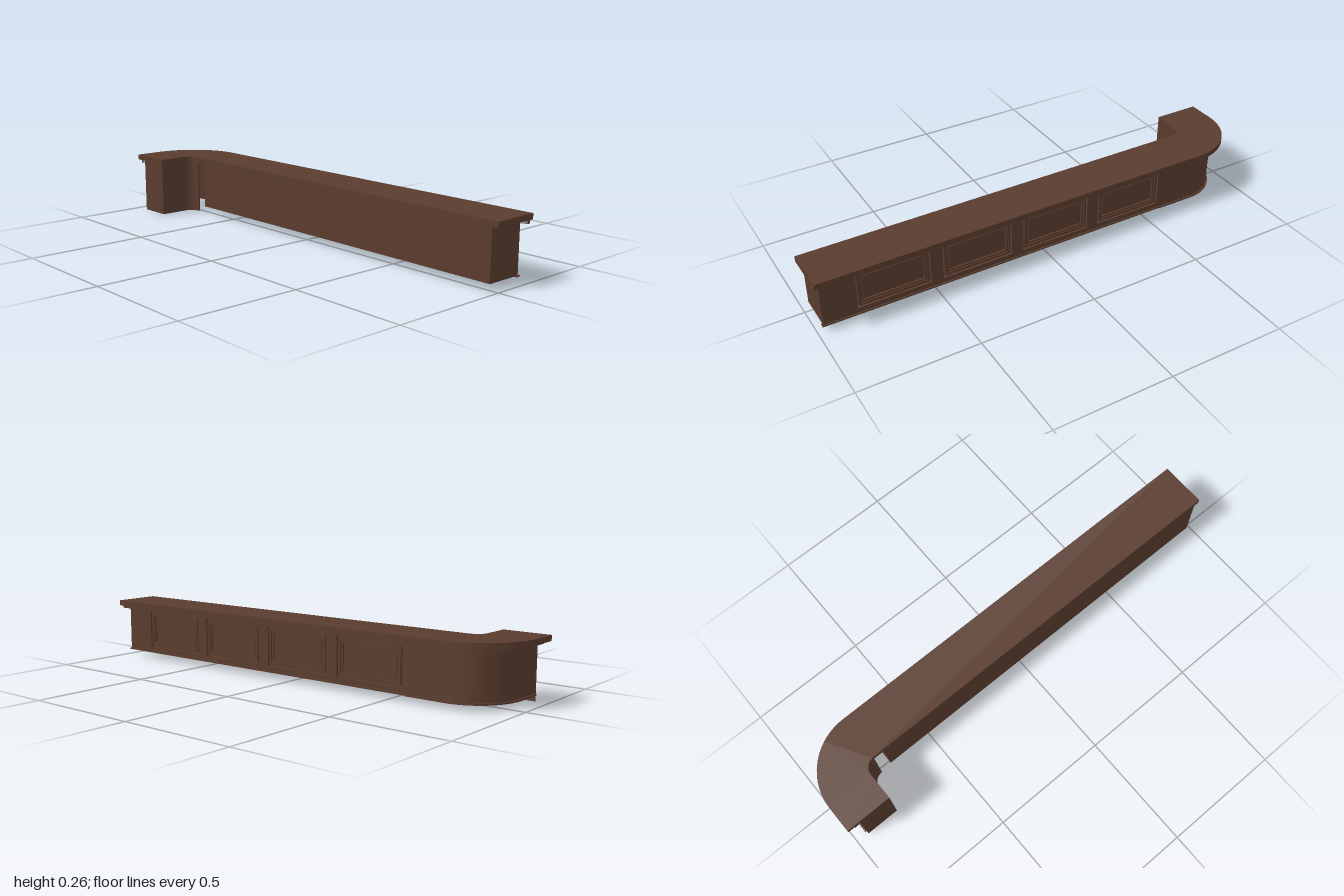
import * as THREE from 'three';
import { toCreasedNormals } from 'three/addons/utils/BufferGeometryUtils.js';

const wood = new THREE.MeshStandardMaterial({ color: 0x5a3c2e, side: THREE.DoubleSide });
const metal = new THREE.MeshStandardMaterial({ color: 0x9aa0a4, side: THREE.DoubleSide });

// Common centre of the corner curves, and the open end of the short leg
const CX = -0.75, CZ = 0.067, LEG_END = 0.183;

// Plan line: straight run from xEnd, quarter ellipse, then along the leg to zEnd
function planLine(xEnd, rx, rz, zEnd = LEG_END) {
  const pts = [[xEnd, CZ - rz]];
  const n = 24;
  for (let i = 0; i <= n; i++) {
    const a = (i / n) * Math.PI / 2;
    pts.push([CX - rx * Math.sin(a), CZ - rz * Math.cos(a)]);
  }
  pts.push([CX - rx, zEnd]);
  return pts;
}

// Solid between two plan lines, from height y0 to y1
function planBand(name, outer, inner, y0, y1, material = wood) {
  const outline = [...outer, ...inner.slice().reverse()];
  const shape = new THREE.Shape(outline.map(([x, z]) => new THREE.Vector2(x, -z)));
  const geo = new THREE.ExtrudeGeometry(shape, { depth: y1 - y0, bevelEnabled: false });
  geo.rotateX(-Math.PI / 2);
  geo.translate(0, y0, 0);
  const mesh = new THREE.Mesh(toCreasedNormals(geo, 0.5), material);
  mesh.name = name;
  return mesh;
}

// Plan line of the outer wall, pushed outwards by o
const wallLine = (xEnd, o, zEnd) => planLine(xEnd, 0.195 + o, 0.209 + o, zEnd);

function box(name, x0, x1, y0, y1, z0, z1) {
  const mesh = new THREE.Mesh(new THREE.BoxGeometry(x1 - x0, y1 - y0, z1 - z0), wood);
  mesh.position.set((x0 + x1) / 2, (y0 + y1) / 2, (z0 + z1) / 2);
  mesh.name = name;
  return mesh;
}

function addRect(path, cx, cy, w, h) {
  path.moveTo(cx - w / 2, cy - h / 2);
  path.lineTo(cx + w / 2, cy - h / 2);
  path.lineTo(cx + w / 2, cy + h / 2);
  path.lineTo(cx - w / 2, cy + h / 2);
  path.closePath();
  return path;
}

// Upright plate with rectangular openings, its outer face at z0
function plate(name, rect, holes, z0, z1) {
  const shape = addRect(new THREE.Shape(), ...rect);
  for (const h of holes) shape.holes.push(addRect(new THREE.Path(), ...h));
  const geo = new THREE.ExtrudeGeometry(shape, { depth: z1 - z0, bevelEnabled: false });
  geo.translate(0, 0, z0);
  const mesh = new THREE.Mesh(geo, wood);
  mesh.name = name;
  return mesh;
}

export function createModel() {
  const model = new THREE.Group();
  model.name = 'barCounter';

  // Counter top
  model.add(planBand('counterTop',
    planLine(1, 0.25, 0.25), planLine(1, 0.05, 0.05), 0.235, 0.258));

  // Long straight body with a panelled outer face
  const W = 0.31, H = 0.165, PY = 0.135;
  const centres = [0.68, 0.318, -0.044, -0.406];
  model.add(box('body', -0.7, 0.975, 0.03, 0.235, -0.128, 0.017));
  model.add(plate('panelWall', [0.1375, 0.1325, 1.675, 0.205],
    centres.map((x) => [x, PY, W, H]), -0.142, -0.128));

  // Stepped frames and raised fields inside the openings
  for (const x of centres) {
    const panel = new THREE.Group();
    panel.name = 'panel';
    panel.add(plate('panelFrame', [x, PY, W - 0.014, H - 0.014],
      [[x, PY, W - 0.034, H - 0.034]], -0.141, -0.127));
    panel.add(plate('panelStep', [x, PY, W - 0.034, H - 0.034],
      [[x, PY, W - 0.05, H - 0.05]], -0.136, -0.127));
    panel.add(box('panelField', x - W / 2 + 0.031, x + W / 2 - 0.031,
      PY - H / 2 + 0.031, PY + H / 2 - 0.031, -0.132, -0.127));
    model.add(panel);
  }

  // Curved corner: outer wall, inner wall and leg end
  model.add(planBand('outerWall',
    wallLine(-0.7, 0, 0.176), wallLine(-0.7, -0.006, 0.176), 0.03, 0.235));
  model.add(planBand('innerWall',
    planLine(CX, 0.056, 0.056), planLine(CX, 0.05, 0.05), 0, 0.235));
  model.add(box('legEnd', -0.945, -0.8, 0, 0.235, 0.178, LEG_END));

  // Base trim, a little deeper round the corner
  model.add(box('baseTrim', -0.58, 0.98, 0.026, 0.032, -0.148, -0.13));
  model.add(planBand('cornerBaseTrim',
    wallLine(-0.58, 0.007, 0.176), wallLine(-0.58, -0.006, 0.176), 0.024, 0.031));

  // Moulding and metal strip beneath the overhang
  model.add(planBand('topMoulding',
    wallLine(0.998, 0.025), wallLine(0.998, 0.014), 0.222, 0.235));
  model.add(planBand('metalStrip',
    wallLine(0.997, 0.014), wallLine(0.997, 0), 0.223, 0.235, metal));

  return model;
}
